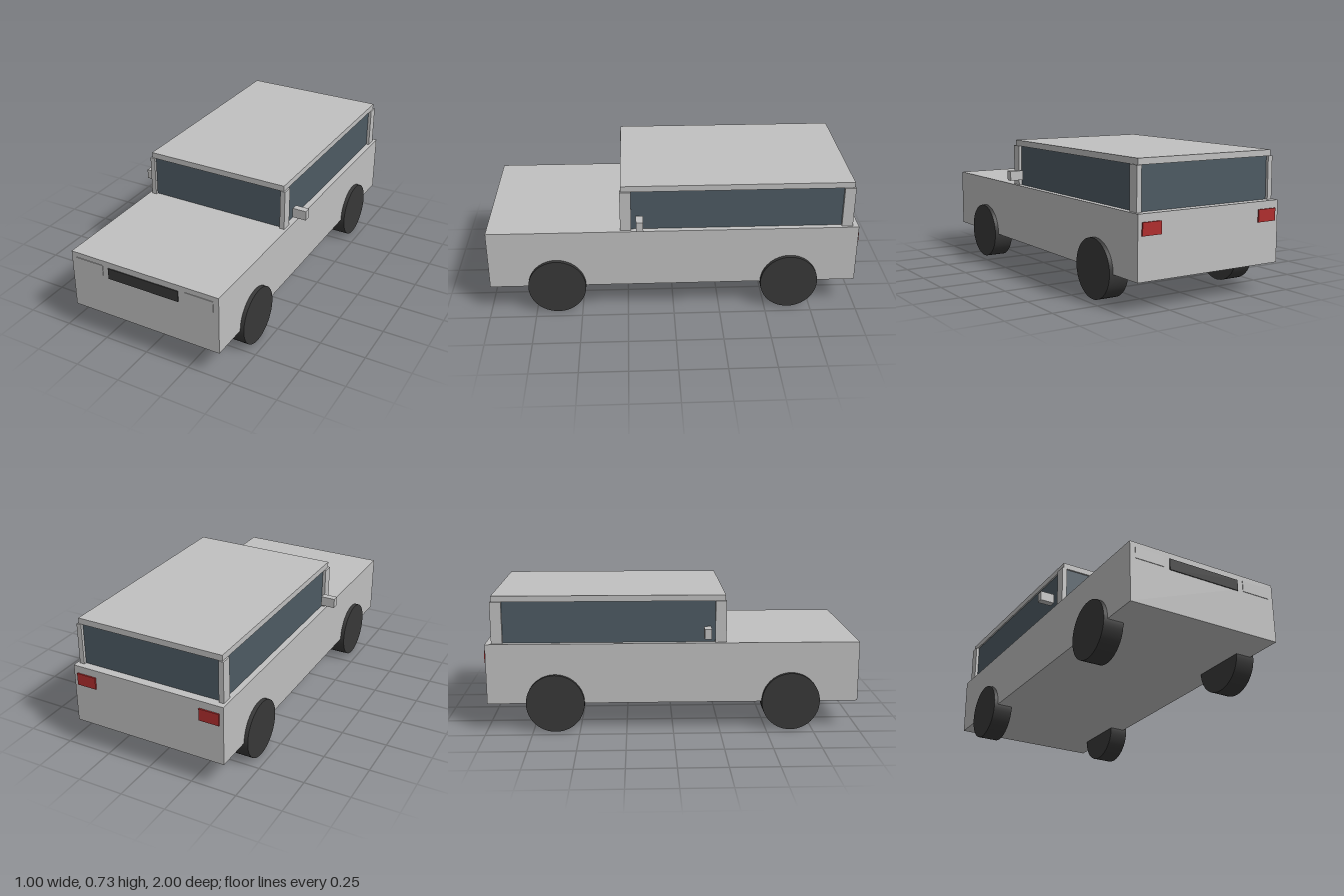
import * as THREE from 'three';

const material = (name, color) => {
  const m = new THREE.MeshStandardMaterial({ color });
  m.name = name;
  return m;
};

export function createModel() {
  const car = new THREE.Group();
  car.name = 'car';
  const paint = material('grey paint', 0xc0c0c0);
  const glass = material('tinted glass', 0x4d5a63);
  const black = material('black rubber', 0x383838);
  const red = material('red lamp', 0xb02e2e);

  // Box given by its limits on each axis
  const box = (name, mat, [x0, x1], [y0, y1], [z0, z1]) => {
    const mesh = new THREE.Mesh(new THREE.BoxGeometry(x1 - x0, y1 - y0, z1 - z0), mat);
    mesh.position.set((x0 + x1) / 2, (y0 + y1) / 2, (z0 + z1) / 2);
    mesh.name = name;
    car.add(mesh);
  };
  // Same box on the left (+x) and right (-x)
  const pair = (name, mat, [x0, x1], y, z) => {
    box(name + 'Left', mat, [x0, x1], y, z);
    box(name + 'Right', mat, [-x1, -x0], y, z);
  };

  // Lower body and cabin
  box('body', paint, [-0.432, 0.432], [0.153, 0.478], [-0.992, 0.995]);
  box('windows', glass, [-0.4, 0.4], [0.478, 0.702], [-0.945, 0.27]);
  box('roof', paint, [-0.408, 0.408], [0.7, 0.732], [-0.954, 0.279]);
  pair('frontPillar', paint, [0.39, 0.417], [0.478, 0.701], [0.225, 0.284]);
  pair('rearPillar', paint, [0.39, 0.417], [0.478, 0.701], [-0.96, -0.901]);

  // Mirrors, lamps and grille
  pair('mirror', paint, [0.424, 0.502], [0.514, 0.567], [0.162, 0.2]);
  pair('headlight', paint, [0.24, 0.402], [0.39, 0.45], [0.993, 0.998]);
  pair('taillight', red, [0.3, 0.41], [0.373, 0.438], [-1, -0.991]);
  box('grille', black, [-0.206, 0.206], [0.384, 0.445], [0.993, 1]);

  // Wheels
  const wheelGeometry = new THREE.CylinderGeometry(0.156, 0.156, 0.11, 48).rotateZ(Math.PI / 2);
  for (const [end, z] of [['front', 0.632], ['rear', -0.629]]) {
    for (const [side, x] of [['Left', 0.398], ['Right', -0.398]]) {
      const wheel = new THREE.Mesh(wheelGeometry, black);
      wheel.name = `${end}Wheel${side}`;
      wheel.position.set(x, 0.156, z);
      car.add(wheel);
    }
  }
  return car;
}
